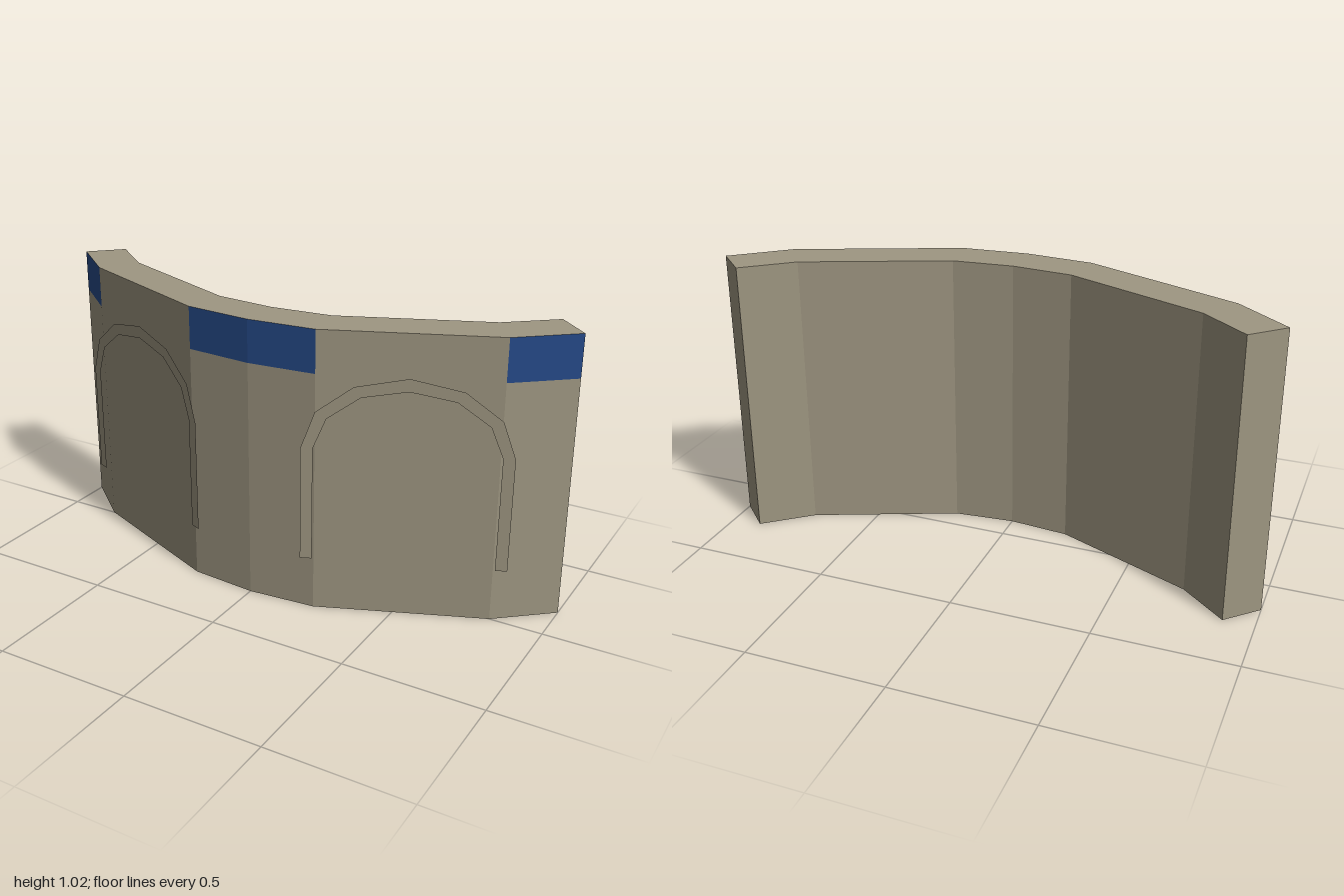
import * as THREE from 'three';

const HEIGHT = 1.02, BAND = 0.868;
// Plan outlines as [x, z], left end to right end
const mirror = (half) => [...half.map(([x, z]) => [-x, z]), [0, half.mid], ...[...half].reverse()];
const outline = (half, mid) => mirror(Object.assign(half, { mid }));
const FRONT = outline([[1, -0.16], [0.81, 0], [0.245, 0.234]], 0.255);
const BACK = outline([[0.89, -0.267], [0.725, -0.13], [0.22, 0.08]], 0.1);

// Vertical flat-faced strip along a plan line; outside is to the right of travel
function strip(points, y0, y1) {
  const pos = [];
  for (let i = 0; i < points.length - 1; i++) {
    const [ax, az] = points[i], [bx, bz] = points[i + 1];
    pos.push(ax, y0, az, bx, y0, bz, bx, y1, bz, ax, y0, az, bx, y1, bz, ax, y1, az);
  }
  const geo = new THREE.BufferGeometry();
  geo.setAttribute('position', new THREE.Float32BufferAttribute(pos, 3));
  geo.computeVertexNormals();
  return geo;
}

// Closed polygon from half a silhouette mirrored about x = 0
const archLine = (half, top) => [
  ...half.map(([x, y]) => [-x, y]), [0, top], ...[...half].reverse(),
].map(([x, y]) => new THREE.Vector2(x, y));

export function createModel() {
  const stone = new THREE.MeshStandardMaterial({ color: 0x9f9782 });
  stone.name = 'stone';
  const blue = new THREE.MeshStandardMaterial({ color: 0x264a88 });
  blue.name = 'blue paint';
  const model = new THREE.Group();
  model.name = 'curvedWall';
  const add = (name, geo, mat) => {
    const mesh = new THREE.Mesh(geo, mat);
    mesh.name = name;
    model.add(mesh);
    return mesh;
  };

  // Front face below the painted band, then back face and ends
  add('frontFace', strip(FRONT, 0, BAND), stone);
  add('backFace', strip([...BACK].reverse(), 0, HEIGHT), stone);
  add('rightEnd', strip([BACK[0], FRONT[0]], 0, HEIGHT), stone);
  add('leftEnd', strip([FRONT[6], BACK[6]], 0, HEIGHT), stone);

  // Upper band: painted at the ends and middle, plain above the arches
  [[0, 1, blue], [1, 2, stone], [2, 4, blue], [4, 5, stone], [5, 6, blue]].forEach(([a, b, mat]) =>
    add(mat === blue ? 'paintedBand' : 'plainBand', strip(FRONT.slice(a, b + 1), BAND, HEIGHT), mat));

  // Top and underside
  const plan = (s) => new THREE.ShapeGeometry(new THREE.Shape(
    [...FRONT, ...[...BACK].reverse()].map(([x, z]) => new THREE.Vector2(x, s * z))));
  add('top', plan(-1).rotateX(-Math.PI / 2).translate(0, HEIGHT, 0), stone);
  add('underside', plan(1).rotateX(Math.PI / 2), stone);

  // Thin arch mouldings standing just clear of the two slanted front panels
  const outer = archLine([[0.352, 0.2], [0.352, 0.612], [0.305, 0.742], [0.179, 0.836]], 0.873);
  const inner = archLine([[0.311, 0.2], [0.311, 0.612], [0.267, 0.72], [0.155, 0.8]], 0.828);
  const arch = new THREE.ShapeGeometry(new THREE.Shape([...outer, ...inner.reverse()]));
  for (const side of [-1, 1]) {
    const mesh = add(side < 0 ? 'rightArch' : 'leftArch', arch, stone);
    mesh.position.set(side * 0.535, 0, 0.133);
    mesh.rotation.y = side * 0.391;
  }
  return model;
}
